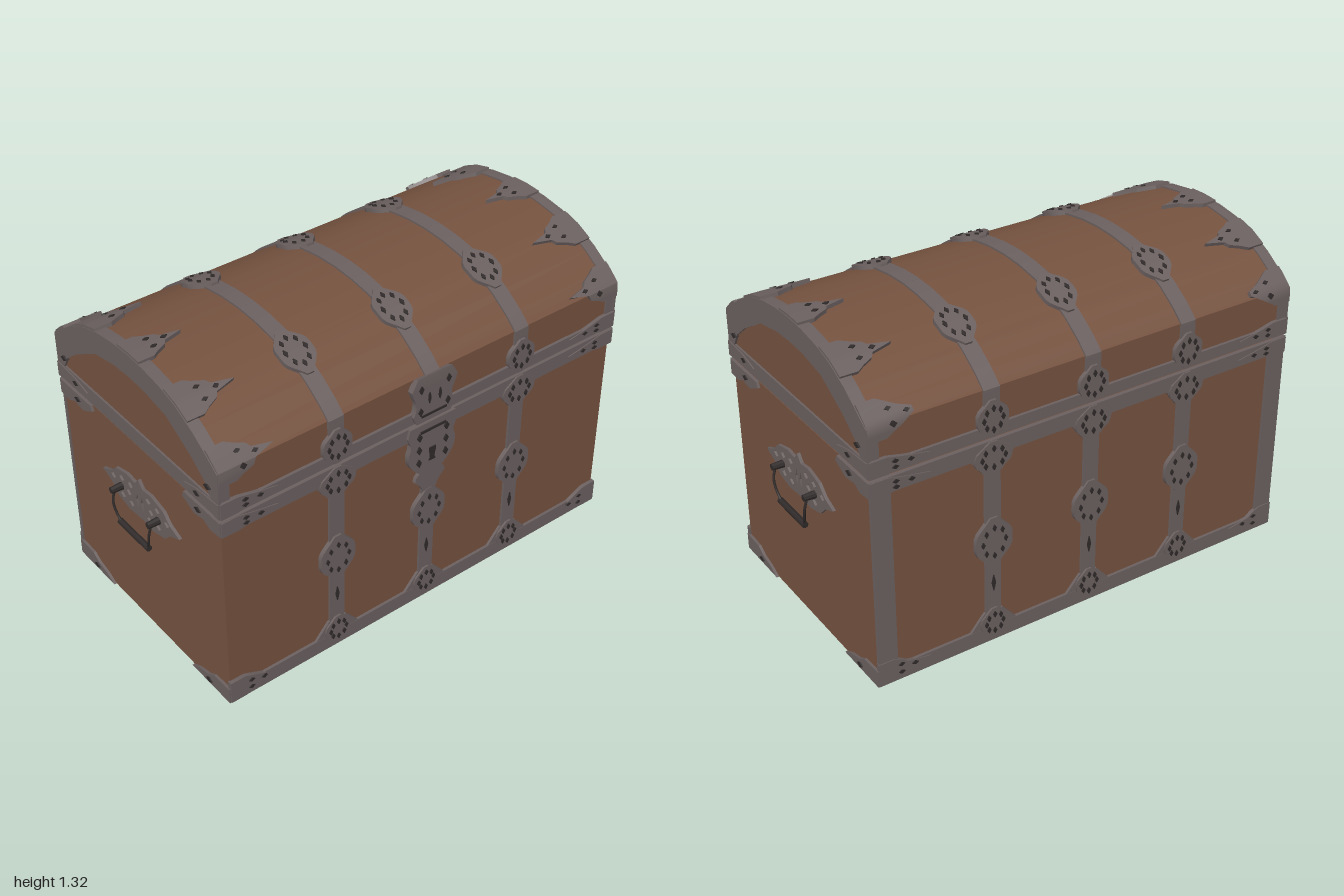
import * as THREE from 'three';
import { mergeGeometries, toCreasedNormals } from 'three/addons/utils/BufferGeometryUtils.js';

const X = 0.935, Z = 0.52, SEAM = 0.9;
// half outline of the lid, (z, y), from front edge to ridge
const LID = [[Z, 1.1], [0.47, 1.145], [0.39, 1.2], [0.29, 1.25], [0.2, 1.275], [0.1, 1.29], [0, 1.295]];
const mirrorZ = (pts) => pts.slice(0, -1).reverse().map(([z, y]) => [-z, y]);
const ARCH = [...LID, ...mirrorZ(LID)];

// path up the front, over the lid and down the back, measured by length s
const PATH = [[Z, 0], ...ARCH, [-Z, 0]];
const LEN = [0];
for (let i = 1; i < PATH.length; i++)
  LEN.push(LEN[i - 1] + Math.hypot(PATH[i][0] - PATH[i - 1][0], PATH[i][1] - PATH[i - 1][1]));
const T = LEN[LEN.length - 1];

function at(s) {
  let i = 1;
  while (i < PATH.length - 1 && s > LEN[i]) i++;
  const k = (s - LEN[i - 1]) / (LEN[i] - LEN[i - 1]);
  return [0, 1].map((c) => PATH[i - 1][c] + (PATH[i][c] - PATH[i - 1][c]) * k);
}
function lift(s, d) {
  const a = at(s - 0.012), b = at(s + 0.012), p = at(s);
  const l = Math.hypot(b[0] - a[0], b[1] - a[1]);
  return [p[0] + ((b[1] - a[1]) / l) * d, p[1] - ((b[0] - a[0]) / l) * d];
}
const table = (v) => (t) => {
  const f = t * (v.length - 1), i = Math.min(Math.floor(f), v.length - 2);
  return v[i] + (v[i + 1] - v[i]) * (f - i);
};
const shapeOf = (pts) => new THREE.Shape(pts.map(([x, y]) => new THREE.Vector2(x, y)));

export function createModel() {
  const group = new THREE.Group();
  const mat = (name, color) => Object.assign(new THREE.MeshStandardMaterial({ color }), { name });
  const wood = mat('wood', 0x75523f), metal = mat('iron', 0x6b6060), dark = mat('darkIron', 0x2f2a29);

  // geometries sharing a name are joined into one mesh
  const parts = new Map();
  function add(name, material, geo) {
    const g = toCreasedNormals(geo.index ? geo.toNonIndexed() : geo, 0.5);
    if (!parts.has(name)) parts.set(name, { material, list: [] });
    parts.get(name).list.push(g);
  }
  // fitting bent over the path; left and right edges vary along its length
  function strip(name, material, s0, s1, left, right, d = 0.01, back = false) {
    if (back) {
      const l = left, r = right;
      [s0, s1] = [T - s1, T - s0];
      left = (t) => l(1 - t);
      right = (t) => r(1 - t);
    }
    const n = Math.max(2, Math.ceil((s1 - s0) / 0.02));
    const g = new THREE.BoxGeometry(1, 1, 1, 1, n, 1), p = g.attributes.position;
    for (let i = 0; i < p.count; i++) {
      const t = p.getY(i) + 0.5, l = left(t), r = right(t);
      const q = lift(s0 + (s1 - s0) * t, p.getZ(i) > 0 ? d : -0.004);
      p.setXYZ(i, l + (r - l) * (p.getX(i) + 0.5), q[1], q[0]);
    }
    add(name, material, g);
  }
  const band = (name, s0, s1, x0, x1, d, back) => strip(name, metal, s0, s1, () => x0, () => x1, d, back);
  const tapered = (name, m, x, s0, s1, half, d, back) => {
    const f = table(half);
    strip(name, m, s0, s1, (t) => x - f(t), (t) => x + f(t), d, back);
  };
  const diamond = (x, s, w, h, back, d = 0.022) =>
    tapered('piercings', dark, x, s - h, s + h, [0.001, w, 0.001], d, back);

  // medallion with a ring of piercings
  function medallion(x, s, w, h, back) {
    tapered('medallions', metal, x, s - h, s + h,
      [0.2, 0.5, 0.85, 1, 1, 1, 0.85, 0.5, 0.2].map((v) => v * w), 0.018, back);
    for (let i = 0; i < 8; i++) {
      const a = (i / 8) * Math.PI * 2;
      diamond(x + Math.cos(a) * w * 0.62, s + Math.sin(a) * h * 0.58, 0.009, 0.014, back);
    }
  }
  // leaf-shaped fitting pointing inward from an end
  function leaf(s, h, len, back) {
    const f = table([0.3, 0.4, 0.45, 0.6, 0.55, 0.75, 1, 0.75, 0.55, 0.6, 0.45, 0.4, 0.3].map((v) => v * len));
    const e = X + 0.006;
    strip('cornerLeaves', metal, s - h, s + h, (t) => -e, (t) => -e + f(t), 0.016, back);
    strip('cornerLeaves', metal, s - h, s + h, (t) => e - f(t), (t) => e, 0.016, back);
    for (const m of [-1, 1]) for (const k of [-1, 0, 1])
      diamond(m * (e - len * (k ? 0.42 : 0.68)), s + k * h * 0.35, 0.014, 0.008, back, 0.02);
  }

  // body and domed lid
  const body = new THREE.BoxGeometry(2 * X, SEAM - 0.011, 2 * Z);
  body.translate(0, (SEAM - 0.005) / 2 + 0.0005, 0);
  add('body', wood, body);
  const lid = new THREE.ExtrudeGeometry(shapeOf([[Z, SEAM + 0.005], ...ARCH, [-Z, SEAM + 0.005]]),
    { depth: 2 * X, bevelEnabled: false });
  lid.translate(0, 0, -X).rotateY(-Math.PI / 2);
  lid.scale(1, 1, 1);
  add('lid', wood, lid);

  // bands, straps and ornaments on front and back
  const sideZ = LEN[4]; // path length at the lid medallions
  for (const back of [false, true]) {
    band('baseBand', 0.004, 0.07, -X, X, 0.012, back);
    strip('bodyBand', metal, 0.83, 0.893, () => -X, () => X, 0.012, back);
    band('lidBand', 0.907, 0.955, -X, X, 0.012, back);
    for (const x of [-0.44, 0, 0.44]) {
      band('straps', 0.05, 0.85, x - 0.034, x + 0.034, 0.01, back);
      band('straps', 0.94, T / 2 + 0.005, x - 0.034, x + 0.034, 0.008, back);
      tapered('strapFlares', metal, x, 0.06, 0.14, [0.11, 0.04], 0.011, back);
      tapered('strapFlares', metal, x, 0.76, 0.84, [0.04, 0.1], 0.011, back);
      medallion(x, 0.09, 0.06, 0.065, back);
      medallion(x, 0.46, 0.08, 0.105, back);
      medallion(x, sideZ, 0.07, 0.1, back);
      diamond(x, 0.27, 0.009, 0.035, back, 0.014);
      if (x || back) {
        medallion(x, 0.825, 0.08, 0.066, back);
        medallion(x, 0.985, 0.065, 0.075, back);
      }
    }
    leaf(0.058, 0.05, 0.22, back);
    leaf(0.86, 0.032, 0.24, back);
    leaf(0.942, 0.034, 0.24, back);
    leaf(1.12, 0.07, 0.24, back);
    leaf(sideZ, 0.075, 0.24, back);
    for (const m of [-1, 1]) {
      const [a, b] = [m * 0.895, m * (X + 0.004)].sort((p, q) => p - q);
      band('lidEndBand', 0.907, T / 2 + 0.005, a, b, 0.006, back);
    }
  }
  leaf(T / 2, 0.07, 0.22, false);
  // upright corner strips on the back
  band('backCorners', 0.02, 0.85, -X - 0.004, -0.86, 0.012, true);
  band('backCorners', 0.02, 0.85, 0.86, X + 0.004, 0.012, true);

  // lock plate, hasp and keyhole
  tapered('lockPlate', metal, 0, 0.64, 0.893, [0.03, 0.08, 0.11, 0.115, 0.1, 0.12, 0.11], 0.022);
  tapered('lockPlate', metal, 0, 0.56, 0.66, [0.03, 0.045, 0.08, 0.05], 0.016);
  tapered('hasp', metal, 0, 0.907, 1.1, [0.08, 0.1, 0.085, 0.085, 0.1, 0.11, 0.08], 0.024);
  tapered('keyhole', dark, 0, 0.71, 0.77, [0.016, 0.008, 0.016, 0.016], 0.026);
  for (const m of [-1, 1]) {
    for (const s of [0.72, 0.78, 0.84, 0.96, 1.06]) diamond(m * 0.065, s, 0.012, 0.018, false, 0.028);
    diamond(m * 0.025, 1.01, 0.008, 0.025, false, 0.028);
  }
  for (const s of [0.935, 0.86]) tapered('haspBars', dark, 0, s - 0.005, s + 0.005, [0.06, 0.06], 0.027);

  // flat fittings on the two ends, drawn in (z, y)
  function endPlate(name, pts, depth, m, holes = [], material = metal) {
    const shape = shapeOf(pts);
    for (const h of holes) shape.holes.push(shapeOf(h));
    const g = new THREE.ExtrudeGeometry(shape, { depth, bevelEnabled: false });
    add(name, material, g.rotateY((m * Math.PI) / 2).translate(m * (X - 0.001), 0, 0));
  }
  const inner = [[0.485, 0.97], [0.45, 1.03], [0.375, 1.09], [0.23, 1.175], [0.1, 1.2], [0, 1.205]];
  const rim = [[0.53, 0.97], [0.53, 1.106], ...ARCH.slice(1, -1).map(([z, y]) => [z, y + 0.007]), [-0.53, 1.106], [-0.53, 0.97],
    ...[...inner, ...mirrorZ(inner)].reverse()];
  const half = [[-0.26, 0], [-0.2, 0.025], [-0.16, 0.065], [-0.08, 0.085], [-0.025, 0.078]];
  const lens = [...half, [0, 0.11], ...half.slice(1).reverse().map(([z, y]) => [-z, y]), [0.26, 0],
    ...half.slice(1).reverse().map(([z, y]) => [-z, -y]).reverse(),
    ...half.slice(1).reverse().map(([z, y]) => [z, -y])].map(([z, y]) => [z, y + 0.63]);
  const hole = (z, y, w, h) => [[z - w, y], [z, y - h], [z + w, y], [z, y + h]];
  for (const m of [-1, 1]) {
    endPlate('lidEndRim', rim, 0.01, m);
    endPlate('lidEndBelt', [[-0.53, 0.907], [0.53, 0.907], [0.53, 0.975], [-0.53, 0.975]], 0.009, m);
    const holes = [hole(0.016, 0.63, 0.01, 0.035), hole(-0.016, 0.63, 0.01, 0.035)];
    for (const k of [-1, 1]) {
      for (const [z, y] of [[0.06, 0.045], [0.06, -0.045], [0.12, 0.04], [0.12, -0.04], [0.18, 0.015], [0.075, 0]])
        holes.push(hole(k * z, 0.63 + y, 0.018, 0.014));
      const corner = (pts) => pts.map(([z, y]) => [k * (0.53 - z), y]);
      endPlate('endCorners', corner([[0, 0.004], [0.25, 0.004], [0.2, 0.03], [0.14, 0.045], [0.1, 0.07], [0, 0.075]]), 0.012, m);
      endPlate('endCorners', corner([[0, 0.893], [0.22, 0.893], [0.23, 0.87], [0.16, 0.835], [0.1, 0.845], [0.06, 0.825], [0, 0.83]]), 0.012, m);
      endPlate('endCorners', corner([[0, 0.91], [0.14, 0.925], [0.21, 0.945], [0.13, 0.965], [0, 0.975]]), 0.014, m);
      for (const [z, y] of [[0.13, 0.025], [0.13, 0.87], [0.13, 0.945], [0.06, 1.02]])
        endPlate('endPiercings', hole(k * (0.53 - z), y, 0.02, 0.011), 0.017, m, [], dark);
      // post and thin hanging arm of the handle
      add('handlePosts', dark, new THREE.CylinderGeometry(0.013, 0.016, 0.06, 8)
        .rotateZ((-m * Math.PI) / 2).translate(m * 0.967, 0.63, k * 0.125));
      const arm = new THREE.CatmullRomCurve3([[0.98, 0.63, 0.125], [0.993, 0.58, 0.123], [0.99, 0.53, 0.11], [0.984, 0.495, 0.09]]
        .map(([x, y, z]) => new THREE.Vector3(m * x, y, k * z)));
      add('handleArms', dark, new THREE.TubeGeometry(arm, 8, 0.005, 6));
    }
    endPlate('handlePlate', lens, 0.014, m, holes);
    add('handleGrip', dark, new THREE.CylinderGeometry(0.013, 0.013, 0.2, 8)
      .rotateX(Math.PI / 2).translate(m * 0.984, 0.493, 0));
    // corner guards under the base
    for (const k of [-1, 1]) {
      const pts = [[0, 0], [0.2, 0], [0.18, 0.08], [0.14, 0.14], [0.08, 0.18], [0, 0.2]]
        .map(([x, z]) => [m * (X - x), k * (Z - z)]);
      add('baseGuards', metal, new THREE.ExtrudeGeometry(shapeOf(pts), { depth: 0.007, bevelEnabled: false })
        .rotateX(Math.PI / 2).translate(0, 0.007, 0));
    }
  }

  for (const [name, { material, list }] of parts) {
    const mesh = new THREE.Mesh(mergeGeometries(list), material);
    mesh.name = name;
    group.add(mesh);
  }
  return group;
}
